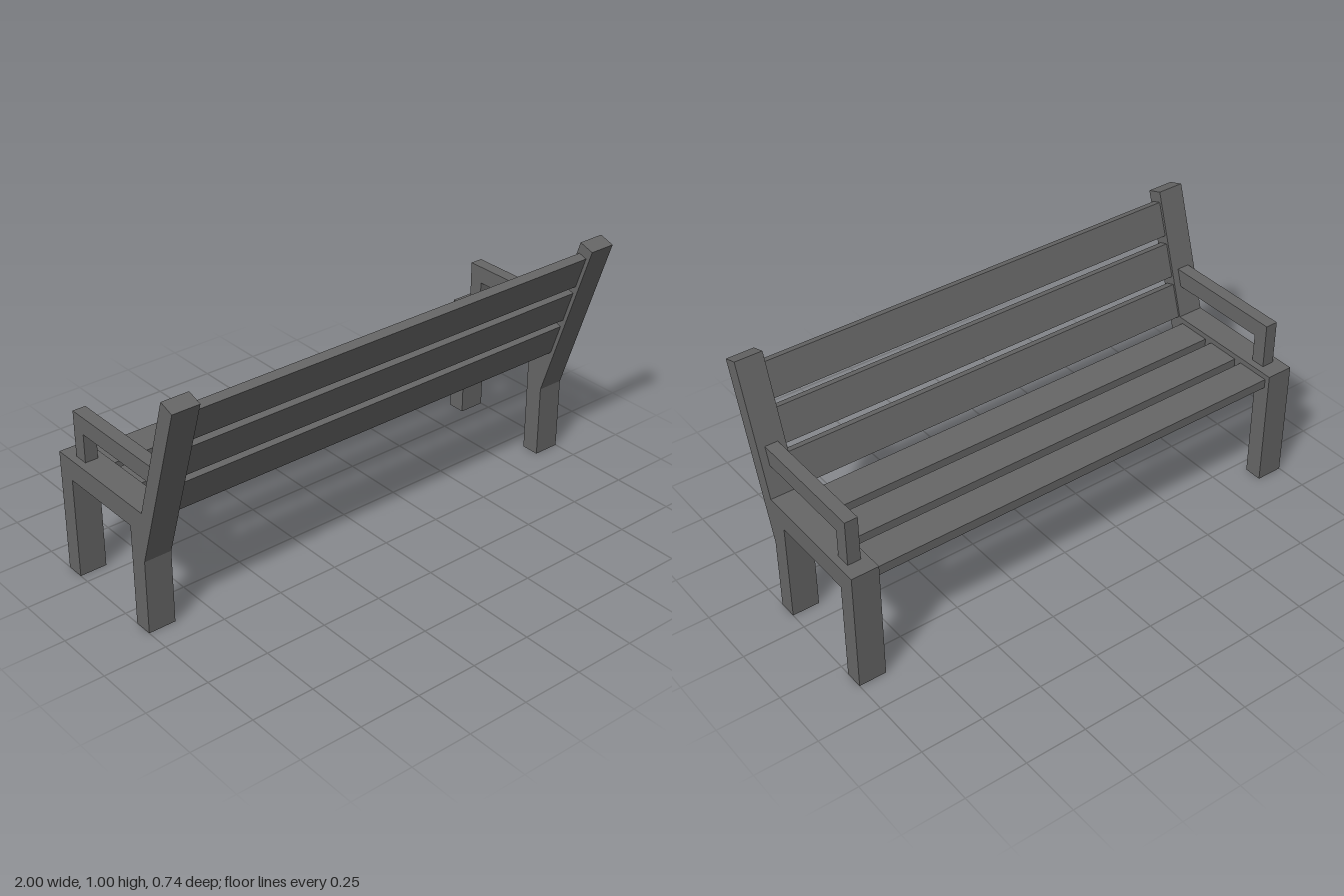
import * as THREE from 'three';

const material = new THREE.MeshStandardMaterial({ color: 0x666666, flatShading: true });

// Extrude a side outline of [z, y] points to a width centred on x
function sidePart(name, outline, width, x) {
  const shape = new THREE.Shape(outline.map(([z, y]) => new THREE.Vector2(z, y)));
  const geometry = new THREE.ExtrudeGeometry(shape, { depth: width, bevelEnabled: false });
  geometry.translate(0, 0, -width / 2);
  geometry.rotateY(-Math.PI / 2);
  const mesh = new THREE.Mesh(geometry, material);
  mesh.name = name;
  mesh.position.x = x;
  return mesh;
}

function slat(name, width, height, depth, y, z, tilt = 0) {
  const mesh = new THREE.Mesh(new THREE.BoxGeometry(width, height, depth), material);
  mesh.name = name;
  mesh.position.set(0, y, z);
  mesh.rotation.x = tilt;
  return mesh;
}

export function createModel() {
  const bench = new THREE.Group();
  bench.name = 'bench';

  // Legs, seat rail and leaning back post in one outline
  const frame = [
    [0.15, 0], [0.15, 0.3], [0.369, 0.977], [0.308, 0.997], [0.15, 0.498],
    [-0.369, 0.498], [-0.369, 0], [-0.295, 0], [-0.295, 0.412], [0.075, 0.412], [0.075, 0],
  ];
  // Armrest with its short upright, let slightly into the frame
  const armrest = [
    [0.22, 0.683], [-0.302, 0.683], [-0.302, 0.49], [-0.243, 0.49], [-0.243, 0.613], [0.198, 0.613],
  ];
  for (const [side, s] of [['left', 1], ['right', -1]]) {
    bench.add(sidePart(`${side}Frame`, frame, 0.11, s * 0.945));
    bench.add(sidePart(`${side}Armrest`, armrest, 0.052, s * 0.945));
  }

  // Three seat slats and three leaning back slats, set back from the post fronts
  const length = 1.79;
  const lean = THREE.MathUtils.degToRad(18);
  for (let i = 0; i < 3; i++) {
    bench.add(slat(`seatSlat${i + 1}`, length, 0.038, 0.138, 0.457, -0.279 + i * 0.171));
    bench.add(slat(`backSlat${i + 1}`, length, 0.138, 0.037, 0.555 + i * 0.163, 0.196 + i * 0.053, lean));
  }
  return bench;
}
